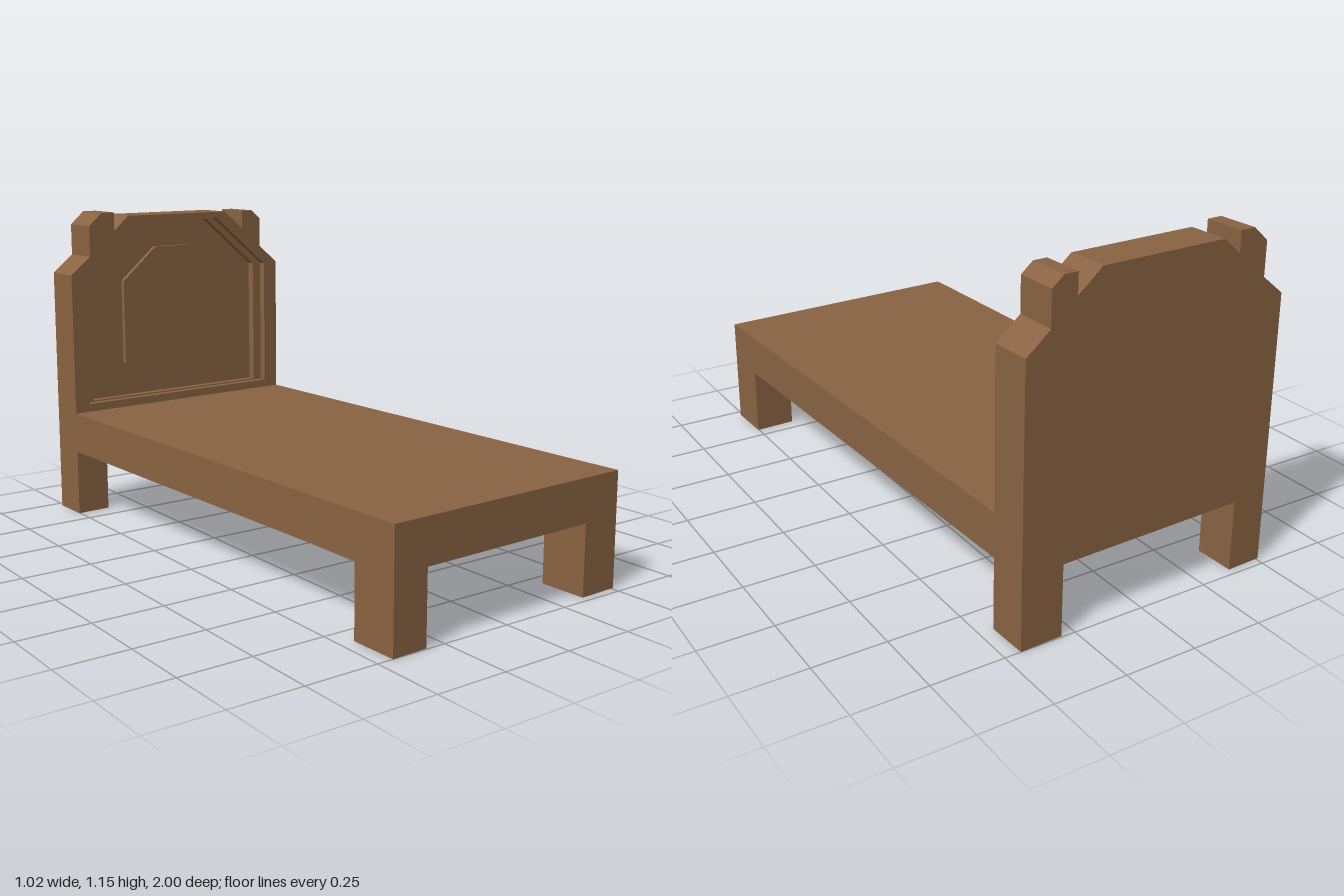
import * as THREE from 'three';

const HALF_W = 0.4765, BACK = -0.985, FRONT = 0.985;
const HEAD_FRONT = -0.843, RAIL_LOW = 0.245, RAIL_TOP = 0.395;
const LEG_IN_L = -0.349, LEG_IN_R = 0.329;

const points = (list) => list.map(([x, y]) => new THREE.Vector2(x, y));

export function createModel() {
  const wood = new THREE.MeshStandardMaterial({ color: 0x8a6342 });
  wood.name = 'brown wood';

  const bed = new THREE.Group();
  bed.name = 'bed';

  const add = (name, geometry) => {
    const mesh = new THREE.Mesh(geometry, wood);
    mesh.name = name;
    bed.add(mesh);
  };

  // Box given by its limits on each axis
  const box = (name, x0, x1, y0, y1, z0, z1) => {
    const g = new THREE.BoxGeometry(x1 - x0, y1 - y0, z1 - z0);
    add(name, g.translate((x0 + x1) / 2, (y0 + y1) / 2, (z0 + z1) / 2));
  };

  // Flat board cut from an outline, with an optional opening
  const board = (name, outline, z0, z1, opening) => {
    const shape = new THREE.Shape(points(outline));
    if (opening) shape.holes.push(new THREE.Path(points(opening)));
    const g = new THREE.ExtrudeGeometry(shape, { depth: z1 - z0, bevelEnabled: false });
    add(name, g.translate(0, 0, z0));
  };

  // Panel with its two upper corners cut off
  const panel = (x0, x1, y0, shoulder, topX0, topX1, top) => [
    [x0, y0], [x1, y0], [x1, shoulder], [topX1, top], [topX0, top], [x0, shoulder],
  ];

  // Mattress platform and front legs
  box('platform', -HALF_W, HALF_W, RAIL_LOW, RAIL_TOP, HEAD_FRONT, FRONT);
  box('frontLegRight', -HALF_W, LEG_IN_L, 0, RAIL_LOW, 0.815, FRONT);
  box('frontLegLeft', LEG_IN_R, HALF_W, 0, RAIL_LOW, 0.815, FRONT);

  // Headboard outline: back legs, shoulders, uneven posts and notched crest
  const outline = [
    [-HALF_W, 0], [LEG_IN_L, 0], [LEG_IN_L, RAIL_LOW],
    [LEG_IN_R, RAIL_LOW], [LEG_IN_R, 0], [HALF_W, 0],
    [HALF_W, 0.922], [0.394, 0.99], [0.394, 1.105], [0.354, 1.138],
    [0.306, 1.138], [0.306, 1.068], [0.222, 1.138],
    [-0.226, 1.138], [-0.288, 1.083], [-0.288, 1.153],
    [-0.342, 1.153], [-0.396, 1.105], [-0.396, 0.99], [-HALF_W, 0.925],
  ];

  // Headboard in three layers, so the panel steps back twice
  const stepZ = HEAD_FRONT - 0.028, floorZ = stepZ - 0.03;
  board('headboardBack', outline, BACK, floorZ);
  board('headboardInnerFrame', outline, floorZ, stepZ,
    panel(-0.382, 0.379, 0.43, 0.917, -0.154, 0.151, 1.11));
  board('headboardOuterFrame', outline, stepZ, HEAD_FRONT,
    panel(-0.417, 0.416, 0.425, 0.917, -0.178, 0.18, 1.115));

  // Raised centre panel
  board('centrePanel', panel(-0.23, 0.225, 0.56, 0.883, -0.083, 0.077, 1.01),
    floorZ, floorZ + 0.018);

  // The bed stands slightly turned
  bed.rotation.y = 0.0325;

  const model = new THREE.Group();
  model.name = 'model';
  model.add(bed);
  return model;
}
